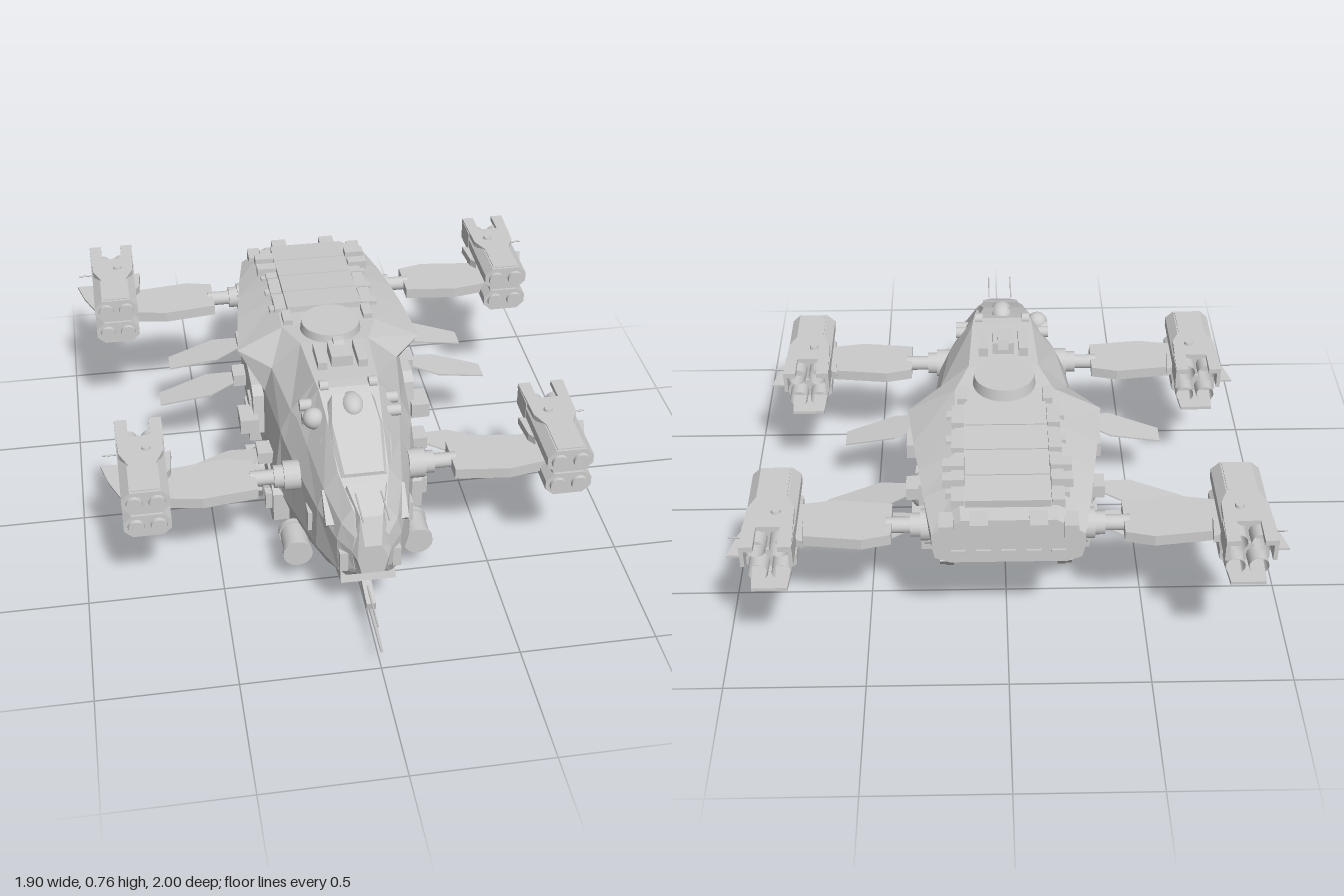
import * as THREE from 'three';

const V = (x, y, z) => new THREE.Vector3(x, y, z);

export function createModel() {
  const root = new THREE.Group();
  root.name = 'dropship';
  const mat = new THREE.MeshStandardMaterial({ color: 0xcccccc, side: THREE.DoubleSide });

  // ---- helpers ----
  const add = (name, geo) => {
    const m = new THREE.Mesh(geo, mat);
    m.name = name;
    root.add(m);
  };
  const mirrored = (geo) => {
    const g = geo.index ? geo.toNonIndexed() : geo.clone();
    g.scale(-1, 1, 1);
    for (const key of ['position', 'normal']) {
      const a = g.attributes[key];
      for (let i = 0; i < a.count; i += 3) {
        const b = [a.getX(i + 1), a.getY(i + 1), a.getZ(i + 1)];
        a.setXYZ(i + 1, a.getX(i + 2), a.getY(i + 2), a.getZ(i + 2));
        a.setXYZ(i + 2, ...b);
      }
    }
    return g;
  };
  const pair = (name, geo) => {
    add(name + 'Left', geo);
    add(name + 'Right', mirrored(geo));
  };
  const box = (w, h, d, x, y, z, rx = 0) => new THREE.BoxGeometry(w, h, d).rotateX(rx).translate(x, y, z);
  const ball = (r, x, y, z, sx = 1, sy = 1, sz = 1) => new THREE.SphereGeometry(r, 20, 14).scale(sx, sy, sz).translate(x, y, z);
  // cylinder along a named axis, centred on the given point
  const cyl = (axis, r0, r1, len, x, y, z, n = 16, open = false) => {
    const g = new THREE.CylinderGeometry(r1, r0, len, n, 1, open);
    if (axis === 'x') g.rotateZ(-Math.PI / 2);
    if (axis === 'z') g.rotateX(Math.PI / 2);
    return g.translate(x, y, z);
  };
  const extrude = (pts, depth) =>
    new THREE.ExtrudeGeometry(new THREE.Shape(pts.map((p) => new THREE.Vector2(...p))), { depth, bevelEnabled: false });
  // plate drawn in plan as [x, z], hanging down from y
  const planPlate = (pts, t, y) => extrude(pts, t).rotateX(Math.PI / 2).translate(0, y, 0);
  // plate drawn in side elevation as [z, y], going inward from x
  const sidePlate = (pts, t, x) => extrude(pts, t).rotateY(-Math.PI / 2).translate(x, 0, 0);
  // faceted loft through symmetric half sections ordered top to bottom, from front to back
  const loft = (sections) => {
    const rings = sections.map(([z, ...half]) => [
      ...half.map(([x, y]) => V(x, y, z)),
      ...half.slice().reverse().map(([x, y]) => V(-x, y, z)),
    ]);
    const pts = [], n = rings[0].length;
    rings.forEach((r, i) => {
      const next = rings[i + 1];
      const mid = r.reduce((s, p) => s.add(p), V(0, 0, 0)).divideScalar(n);
      for (let j = 0; j < n; j++) {
        const k = (j + 1) % n;
        if (next) pts.push(r[j], r[k], next[k], r[j], next[k], next[j]);
        if (i === 0) pts.push(mid, r[k], r[j]);
        if (!next) pts.push(mid, r[j], r[k]);
      }
    });
    const g = new THREE.BufferGeometry().setFromPoints(pts);
    g.computeVertexNormals();
    return g;
  };

  // ---- hull: roof edge, shoulder, under-shoulder, flank, keel ----
  add('hull', loft([
    [0.78, [0.03, 0.46], [0.06, 0.42], [0.07, 0.36], [0.06, 0.28], [0.05, 0.26]],
    [0.73, [0.06, 0.51], [0.10, 0.45], [0.115, 0.38], [0.11, 0.24], [0.08, 0.21]],
    [0.60, [0.09, 0.57], [0.14, 0.50], [0.165, 0.42], [0.17, 0.25], [0.13, 0.17]],
    [0.40, [0.10, 0.67], [0.17, 0.55], [0.21, 0.45], [0.22, 0.25], [0.19, 0.15]],
    [0.28, [0.11, 0.71], [0.19, 0.59], [0.235, 0.48], [0.25, 0.24], [0.21, 0.13]],
    [0.23, [0.115, 0.71], [0.205, 0.59], [0.245, 0.50], [0.275, 0.24], [0.20, 0.04]],
    [-0.04, [0.13, 0.70], [0.24, 0.60], [0.27, 0.50], [0.28, 0.24], [0.22, 0.04]],
    [-0.18, [0.18, 0.69], [0.355, 0.60], [0.28, 0.51], [0.285, 0.24], [0.22, 0.05]],
    [-0.40, [0.18, 0.68], [0.33, 0.61], [0.28, 0.51], [0.285, 0.24], [0.22, 0.06]],
    [-0.55, [0.18, 0.67], [0.31, 0.61], [0.28, 0.51], [0.28, 0.30], [0.22, 0.245]],
    [-0.70, [0.17, 0.66], [0.29, 0.60], [0.28, 0.51], [0.27, 0.45], [0.22, 0.43]],
    [-0.88, [0.16, 0.64], [0.26, 0.58], [0.26, 0.53], [0.25, 0.48], [0.20, 0.46]],
  ]));

  // ---- nose ----
  add('noseBeak', loft([
    [0.81, [0.03, 0.40], [0.055, 0.34], [0.04, 0.28]],
    [0.77, [0.04, 0.50], [0.075, 0.36], [0.06, 0.26]],
    [0.66, [0.07, 0.56], [0.09, 0.45], [0.08, 0.30]],
  ]));
  pair('noseJaw', box(0.03, 0.08, 0.07, 0.095, 0.30, 0.73));
  add('chin', box(0.20, 0.07, 0.12, 0, 0.19, 0.66, -0.25));
  add('canopyHood', loft([
    [0.62, [0.07, 0.575], [0.10, 0.54]],
    [0.44, [0.085, 0.67], [0.13, 0.60]],
    [0.34, [0.07, 0.72], [0.12, 0.62]],
  ]));
  pair('cheekPlate', sidePlate([[0.70, 0.42], [0.60, 0.50], [0.59, 0.42], [0.66, 0.38]], 0.05, 0.148));
  pair('noseWindow', sidePlate([[0.56, 0.37], [0.50, 0.37], [0.50, 0.29], [0.56, 0.29]], 0.03, 0.192));
  pair('noseAntenna', cyl('z', 0.003, 0.003, 0.16, 0.045, 0.55, 0.78, 6));

  // chin gun
  add('gunMount', box(0.07, 0.06, 0.08, 0, 0.13, 0.61));
  add('gunBody', box(0.035, 0.035, 0.16, 0, 0.115, 0.71, 0.2));
  add('gunBarrel', cyl('z', 0.007, 0.005, 0.28, 0, 0.08, 0.86, 8));
  add('gunProbe', cyl('z', 0.004, 0.003, 0.22, 0, 0.13, 0.82, 6));

  // ---- roof ----
  add('turretRing', cyl('y', 0.12, 0.11, 0.07, 0, 0.695, -0.14, 32));
  add('sensorBubble', ball(0.042, 0, 0.685, 0.36, 1, 1, 1.4));
  add('sensorBlock', box(0.08, 0.05, 0.11, 0, 0.725, 0.09));
  add('sensorFin', sidePlate([[0.08, 0.73], [0.06, 0.765], [0.03, 0.765], [0.02, 0.73]], 0.04, 0.02));
  pair('sensorArm', box(0.035, 0.035, 0.14, 0.075, 0.72, 0.09));
  pair('sensorLens', cyl('x', 0.02, 0.02, 0.03, 0.09, 0.715, 0.27));
  add('searchLight', ball(0.04, -0.14, 0.64, 0.36));
  [[0.34, 0.63], [0.28, 0.645]].forEach(([z, y]) => pair('roofPort', cyl('x', 0.022, 0.022, 0.06, 0.15, y, z)));
  pair('roofCap', box(0.035, 0.05, 0.08, 0.155, 0.685, -0.23));
  for (let i = 0; i < 4; i++) {
    const z = -0.35 - i * 0.135;
    add('roofPanel', box(0.29, 0.03, 0.13, 0, 0.69 - i * 0.008, z, -0.06));
    pair('roofRail', box(0.045, 0.04, 0.11, 0.17, 0.68 - i * 0.01, z));
    pair('roofClamp', box(0.022, 0.03, 0.035, 0.20, 0.672 - i * 0.01, z + 0.02));
  }
  [-0.63, -0.71].forEach((z) => pair('roofLatch', box(0.075, 0.035, 0.045, 0.185, 0.68, z)));
  pair('tailHook', box(0.06, 0.03, 0.08, 0.10, 0.635, -0.88));
  pair('tailLug', box(0.05, 0.06, 0.08, 0.21, 0.60, -0.86));

  // ---- tail and ramp, leaning back from keel to tail ----
  add('tailRoller', cyl('x', 0.04, 0.04, 0.46, 0, 0.47, -0.78));
  for (let i = -2; i <= 2; i++) add('tailSlot', box(0.05, 0.04, 0.04, i * 0.085, 0.495, -0.868));
  const tilt = -Math.atan2(0.3, 0.37);
  add('ramp', box(0.36, 0.40, 0.02, 0, 0.245, -0.555, tilt));
  pair('rampFrame', box(0.03, 0.46, 0.04, 0.21, 0.245, -0.55, tilt));
  [0.13, 0.23, 0.33].forEach((y) => pair('rampHinge', box(0.04, 0.05, 0.035, 0.225, y, -0.47 - (y - 0.13) * 0.81, tilt)));

  // ---- flanks ----
  pair('sidePod', sidePlate([[-0.03, 0.31], [-0.05, 0.47], [-0.1, 0.49], [-0.48, 0.48], [-0.48, 0.31], [-0.44, 0.29], [-0.07, 0.29]], 0.09, 0.315));
  pair('sideHatch', sidePlate([[-0.1, 0.42], [-0.17, 0.42], [-0.17, 0.385], [-0.1, 0.385]], 0.03, 0.325));
  pair('lowerLocker', box(0.07, 0.09, 0.19, 0.28, 0.175, -0.32));
  pair('flankArmour', sidePlate([[0.29, 0.13], [0.29, 0.25], [0.2, 0.27], [0.06, 0.27], [-0.02, 0.2], [-0.02, 0.09], [0.23, 0.09]], 0.06, 0.285));
  [0.24, 0.16].forEach((z) => pair('flankCase', box(0.05, 0.07, 0.035, 0.285, 0.2, z)));
  [[0.07, 0.15], [-0.46, 0.22]].forEach(([z, y]) => pair('flankPort', cyl('x', 0.02, 0.02, 0.06, 0.27, y, z)));
  pair('shoulderCase', box(0.07, 0.06, 0.11, 0.335, 0.36, -0.06));
  pair('fuelSphere', ball(0.09, 0.285, 0.125, -0.05, 0.95, 1, 0.9));
  pair('sphereBand', box(0.11, 0.03, 0.17, 0.29, 0.165, -0.05));
  pair('skid', sidePlate([[0.04, 0.08], [-0.15, 0.08], [-0.13, 0.03], [0.01, 0.03]], 0.09, 0.36));
  pair('lampBarrel', cyl('z', 0.05, 0.05, 0.14, 0.225, 0.15, 0.45));
  [0.39, 0.51].forEach((z) => pair('barrelRim', cyl('z', 0.055, 0.055, 0.02, 0.225, 0.15, z)));

  // ---- landing legs ----
  const leg = (x, z) => {
    const geos = [
      ['legStrut', cyl('y', 0.022, 0.022, 0.13, x, 0.085, z, 12)],
      ['legCollar', cyl('y', 0.035, 0.028, 0.03, x, 0.045, z, 12)],
      ['footBar', box(0.035, 0.018, 0.18, x, 0.014, z)],
      ['footCross', box(0.09, 0.018, 0.04, x, 0.014, z)],
    ];
    for (const dz of [-0.07, 0.07]) geos.push(['footPad', box(0.07, 0.014, 0.04, x, 0.007, z + dz)]);
    geos.forEach(([n, g]) => (x ? pair(n, g) : add(n, g)));
  };
  leg(0, 0.42);
  leg(0.13, -0.25);

  // ---- radiator fins, drooping outward ----
  [[0.32, 0.63, 0.13, 0.33], [0.36, 0.67, -0.35, 0.365], [0.32, 0.615, -0.56, 0.39]].forEach(([x0, x1, z, y]) => {
    const L = x1 - x0;
    const fin = planPlate([[0, -0.035], [L * 0.35, -0.075], [L, -0.045], [L, 0.04], [L * 0.35, 0.075], [0, 0.035]], 0.006, 0);
    pair('radiatorFin', fin.rotateZ(-0.25).translate(x0, y, z));
    pair('finMount', box(0.09, 0.05, 0.08, x0 - 0.04, y + 0.005, z));
  });

  // ---- engine arms and pods ----
  const engine = (rootX, px, y, pz, bladeY, armZ) => {
    const tag = pz > 0 ? 'front' : 'rear';
    const part = (name, g) => pair(tag + name, g);
    // shoulder joint
    [[0.055, 0.06, -0.01], [0.042, 0.04, 0.035], [0.028, 0.12, 0.08]].forEach(([r, len, dx]) =>
      part('Joint', cyl('x', r, r, len, rootX + dx, bladeY, armZ)));
    // blade, broadest towards the pod
    const x0 = rootX + 0.12, x1 = px - 0.06;
    part('ArmBlade', planPlate([
      [x0, armZ - 0.08], [x0 + 0.1, armZ - 0.105], [x1, armZ - 0.075],
      [x1, armZ + 0.09], [x0 + 0.2, armZ + 0.115], [x0, armZ + 0.09],
    ], 0.042, bladeY + 0.021));
    // two stacked tiers of twin thrusters
    for (const dy of [-0.05, 0.052]) {
      const hex = [[-0.085, 0.018], [-0.085, -0.018], [-0.055, -0.046], [0.055, -0.046], [0.085, -0.018], [0.085, 0.018], [0.055, 0.046], [-0.055, 0.046]];
      part('PodTier', extrude(hex, 0.32).translate(px, y + dy, pz - 0.11));
      for (const dx of [-0.04, 0.04]) {
        part('Intake', cyl('z', 0.031, 0.029, 0.015, px + dx, y + dy, pz + 0.216));
        part('Exhaust', cyl('z', 0.034, 0.036, 0.07, px + dx, y + dy, pz - 0.14, 16, true));
      }
    }
    part('PodSpine', box(0.12, 0.10, 0.30, px, y, pz + 0.05));
    // forked cowl over the exhausts
    const cowl = [
      [-0.087, -0.225], [-0.04, -0.225], [-0.04, -0.12], [0.04, -0.12], [0.04, -0.225], [0.087, -0.225],
      [0.08, -0.02], [0.05, 0.05], [0.05, 0.2], [-0.05, 0.2], [-0.05, 0.05], [-0.08, -0.02],
    ];
    part('PodCowl', planPlate(cowl, 0.02, y + 0.102).translate(px, 0, pz));
    for (const s of [-1, 1]) part('PodProng', box(0.014, 0.08, 0.12, px + s * 0.08, y + 0.055, pz - 0.16));
    part('CowlPort', cyl('y', 0.018, 0.015, 0.015, px - 0.02, y + 0.105, pz - 0.04));
    // lower tail blade, side stabilisers and spike
    part('PodTailBlade', planPlate([[-0.06, -0.225], [0.06, -0.225], [0.07, -0.1], [-0.07, -0.1]], 0.012, y - 0.075).translate(px, 0, pz));
    part('PodVane', planPlate([[0.08, -0.12], [0.15, -0.12], [0.125, -0.02], [0.08, 0.09]], 0.008, y - 0.02).translate(px, 0, pz));
    part('PodVaneInner', planPlate([[-0.08, -0.1], [-0.11, -0.11], [-0.1, 0], [-0.08, 0.03]], 0.03, y + 0.03).translate(px, 0, pz));
    part('PodSpike', cyl('x', 0.003, 0.003, 0.06, px + 0.11, y + 0.04, pz - 0.1, 6));
  };
  engine(0.24, 0.762, 0.45, 0.365, 0.425, 0.40);
  engine(0.28, 0.80, 0.535, -0.775, 0.505, -0.73);

  return root;
}
